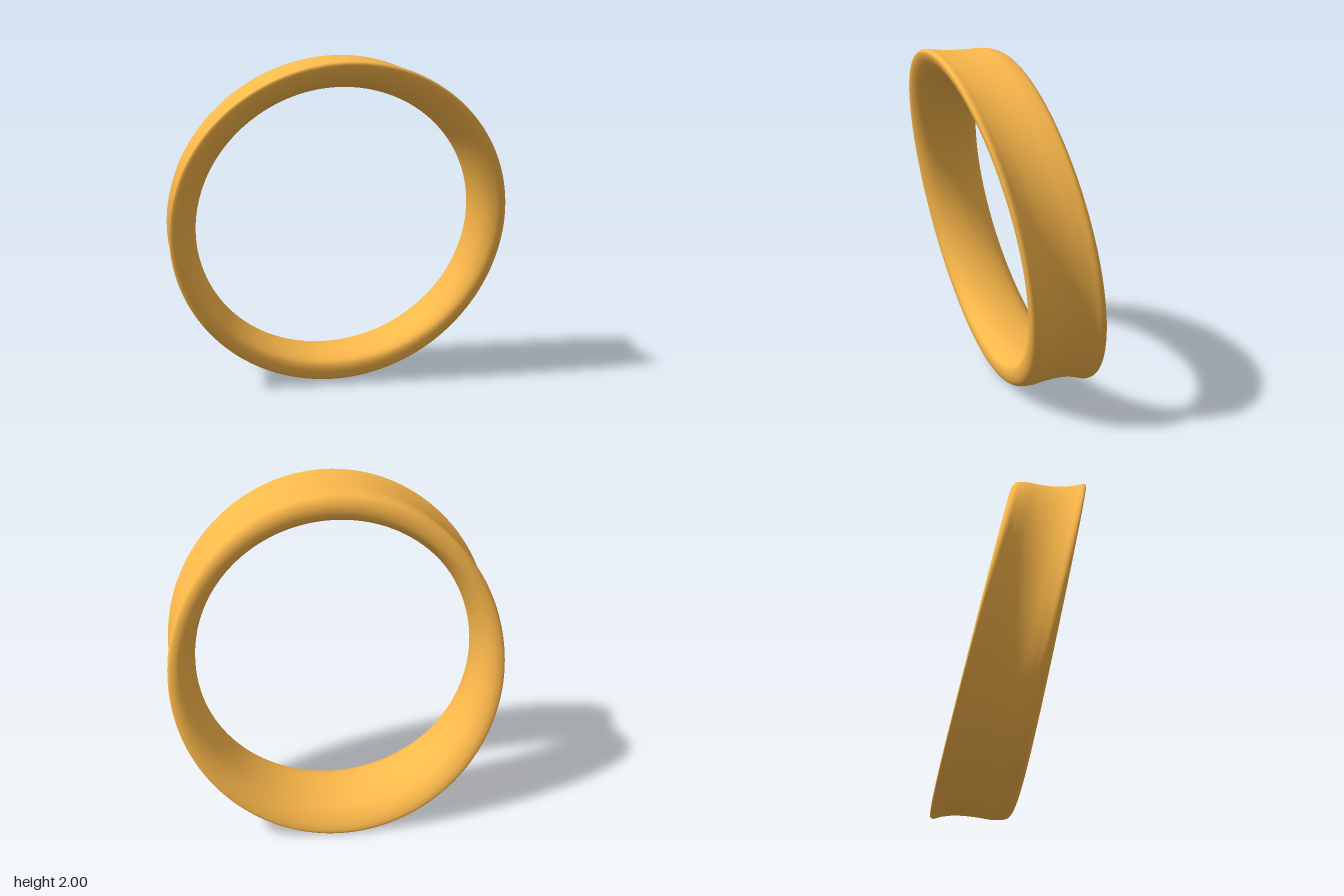
import * as THREE from 'three';

// Cross-sections as [radius, z]. Point 0 is the outer waist, point 7 the inner face.
// Symmetric section at the two sides of the ring
const HALF = [
  [0.917, 0], [0.926, 0.07], [0.955, 0.14], [0.978, 0.18],
  [0.973, 0.2], [0.925, 0.203], [0.86, 0.15], [0.82, 0],
];
const SIDE = [...HALF, ...HALF.slice(1, 7).reverse().map(([r, z]) => [r, -z])];
// Slanted section at the top: pointed lip in front, rounded edge behind
const TOP = [
  [0.991, 0.24], [0.993, 0.31], [0.996, 0.37], [1.0, 0.42], [0.987, 0.432],
  [0.945, 0.417], [0.88, 0.35], [0.838, 0.21], [0.828, 0.07], [0.865, -0.01],
  [0.925, -0.022], [0.978, 0.005], [0.997, 0.07], [0.994, 0.16],
];
// Slanted section at the bottom: rounded edge in front, pointed lip behind
const BOTTOM = [
  [0.98, -0.24], [0.987, -0.16], [0.997, -0.06], [0.982, 0.015], [0.925, 0.043],
  [0.865, 0.035], [0.828, -0.05], [0.836, -0.2], [0.88, -0.35], [0.945, -0.417],
  [0.987, -0.432], [0.998, -0.42], [0.987, -0.37], [0.98, -0.31],
];

// Smooth closed section, blended by height w from -1 (bottom) to 1 (top)
function sectionAt(w) {
  const side = 1 - w * w, top = (w * w + w) / 2, bottom = (w * w - w) / 2;
  const mix = (i, k) => SIDE[i][k] * side + TOP[i][k] * top + BOTTOM[i][k] * bottom;
  return new THREE.CatmullRomCurve3(
    SIDE.map((_, i) => new THREE.Vector3(mix(i, 0), mix(i, 1), 0)), true);
}

function ringGeometry(around = 180, across = 84) {
  const positions = [], index = [];
  for (let i = 0; i < around; i++) {
    const angle = (i / around) * Math.PI * 2;
    const c = Math.cos(angle), s = Math.sin(angle);
    const curve = sectionAt(s);
    for (let j = 0; j < across; j++) {
      const p = curve.getPoint(j / across);
      positions.push(p.x * c, 1 + p.x * s, p.y);
      const i2 = (i + 1) % around, j2 = (j + 1) % across;
      const a = i * across + j, b = i2 * across + j;
      const d = i * across + j2, e = i2 * across + j2;
      index.push(a, b, d, b, e, d);
    }
  }
  const geometry = new THREE.BufferGeometry();
  geometry.setAttribute('position', new THREE.Float32BufferAttribute(positions, 3));
  geometry.setIndex(index);
  geometry.computeVertexNormals();
  return geometry;
}

export function createModel() {
  const group = new THREE.Group();
  group.name = 'slantedRing';
  const band = new THREE.Mesh(
    ringGeometry(), new THREE.MeshStandardMaterial({ color: 0xfdb94b }));
  band.name = 'band';
  group.add(band);
  return group;
}
